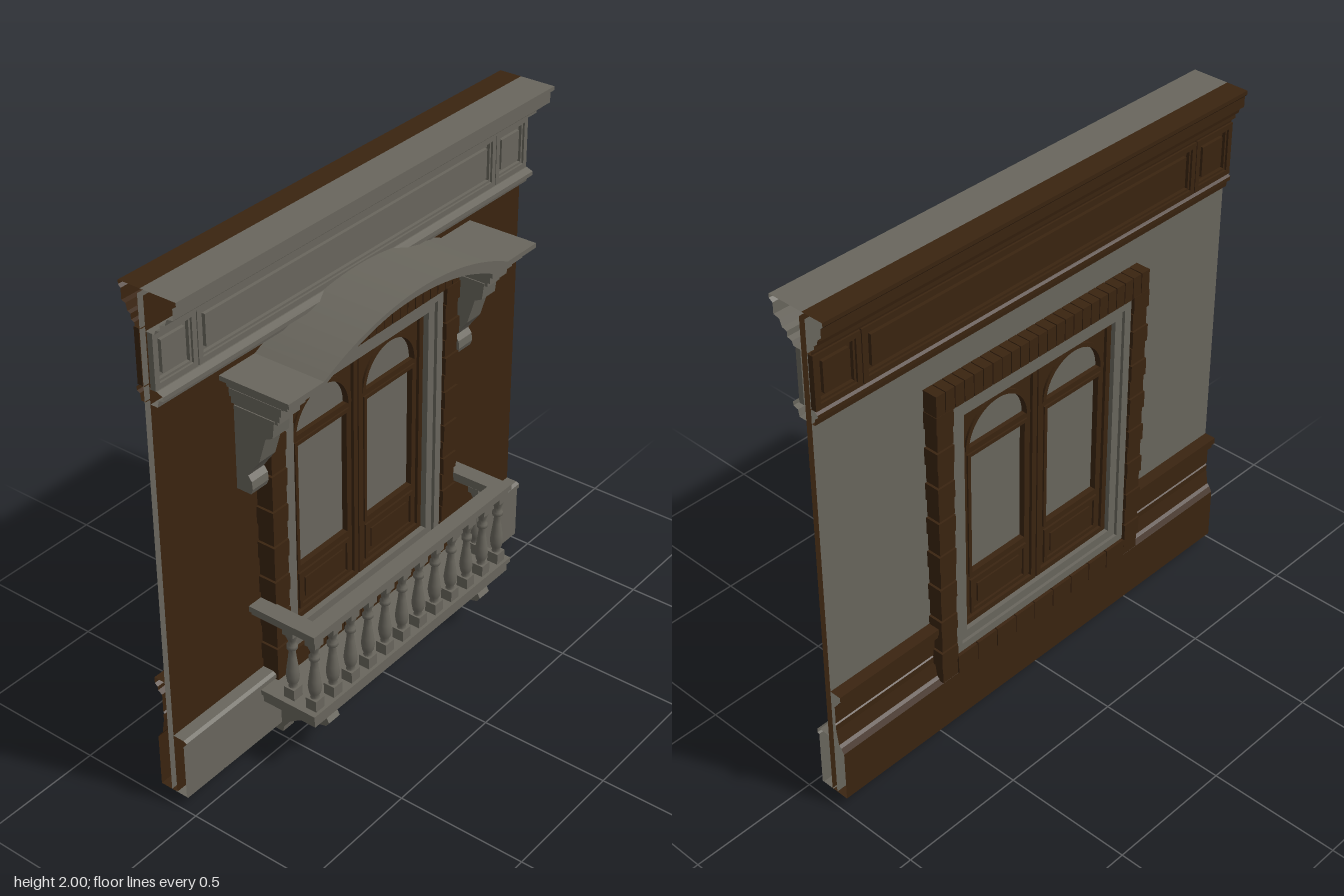
import * as THREE from 'three';

export function createModel() {
  const root = new THREE.Group();
  root.name = 'facadeBay';
  const stone = new THREE.MeshStandardMaterial({ color: 0x69665d, side: THREE.DoubleSide });
  stone.name = 'grey stone';
  const brown = new THREE.MeshStandardMaterial({ color: 0x3a2410, side: THREE.DoubleSide });
  brown.name = 'dark brown';

  const add = (name, geo, mat, parent = root) => {
    const m = new THREE.Mesh(geo, mat);
    m.name = name;
    parent.add(m);
    return m;
  };
  const group = (name) => {
    const g = new THREE.Group();
    g.name = name;
    root.add(g);
    return g;
  };
  // Box given by its limits
  const box = (name, mat, x0, x1, y0, y1, z0, z1, parent) => {
    const g = new THREE.BoxGeometry(x1 - x0, y1 - y0, z1 - z0);
    g.translate((x0 + x1) / 2, (y0 + y1) / 2, (z0 + z1) / 2);
    return add(name, g, mat, parent);
  };
  const rectPath = (x0, x1, y0, y1, P = THREE.Shape) => new P(
    [[x0, y0], [x1, y0], [x1, y1], [x0, y1]].map(([x, y]) => new THREE.Vector2(x, y)));
  // Shape in the xy plane, extruded from z0 to z1
  const plate = (name, mat, shape, z0, z1, parent) => {
    const g = new THREE.ExtrudeGeometry(shape, { depth: z1 - z0, bevelEnabled: false, curveSegments: 16 });
    g.translate(0, 0, z0);
    return add(name, g, mat, parent);
  };
  // Rectangular frame of width w
  const frame = (name, mat, x0, x1, y0, y1, w, z0, z1, parent) => {
    const s = rectPath(x0, x1, y0, y1);
    s.holes.push(rectPath(x0 + w, x1 - w, y0 + w, y1 - w, THREE.Path));
    return plate(name, mat, s, z0, z1, parent);
  };
  // Open moulding: a (z, y) profile swept along x, without end caps
  const moulding = (name, mat, profile, x0, x1, parent) => {
    const v = [];
    for (let i = 0; i + 1 < profile.length; i++) {
      const [za, ya] = profile[i], [zb, yb] = profile[i + 1];
      v.push(x0, ya, za, x1, ya, za, x1, yb, zb, x0, ya, za, x1, yb, zb, x0, yb, zb);
    }
    const g = new THREE.BufferGeometry();
    g.setAttribute('position', new THREE.Float32BufferAttribute(v, 3));
    g.computeVertexNormals();
    return add(name, g, mat, parent);
  };
  // (z, y) side profile given thickness along x
  const sideCut = (name, mat, profile, x0, x1, parent) => {
    const s = new THREE.Shape(profile.map(([z, y]) => new THREE.Vector2(-z, y)));
    const g = new THREE.ExtrudeGeometry(s, { depth: x1 - x0, bevelEnabled: false });
    g.rotateY(Math.PI / 2);
    g.translate(x0, 0, 0);
    return add(name, g, mat, parent);
  };

  const W = 0.98;

  // Wall skins with the window opening
  for (const [name, mat, z] of [['outerWall', brown, -0.1], ['innerWall', stone, -0.124]]) {
    const s = rectPath(-W, W, 0.04, 1.98);
    s.holes.push(rectPath(-0.44, 0.44, 0.34, 1.4, THREE.Path));
    const g = new THREE.ShapeGeometry(s);
    if (z < -0.11) g.scale(1, 1, -1).rotateY(Math.PI);
    g.translate(0, 0, z);
    add(name, g, mat);
  }

  // Entablature on both sides, the inner one shallower
  const lower = [[-0.1, 1.605], [-0.07, 1.605], [-0.065, 1.63], [-0.045, 1.635], [-0.045, 1.65], [-0.07, 1.66], [-0.1, 1.66]];
  const upper = [[-0.1, 1.86], [-0.065, 1.86], [-0.06, 1.875], [-0.04, 1.88], [-0.04, 1.9], [-0.02, 1.905],
    [-0.01, 1.93], [0.015, 1.935], [0.015, 1.975], [0.03, 1.985], [0.03, 2], [-0.112, 2]];
  const mirrorZ = ([z, y]) => [-0.112 - (z + 0.112) * 0.62, y];
  for (const [side, mat, inner] of [['outer', stone, false], ['inner', brown, true]]) {
    const g = group(side + 'Entablature');
    moulding('friezeMoulding', mat, inner ? lower.map(mirrorZ) : lower, -W, W, g);
    moulding('cornice', mat, inner ? upper.map(mirrorZ) : upper, -W, W, g);
    const z = (a, b) => inner ? [-0.222 - b, -0.222 - a] : [a, b];
    moulding('friezeBack', mat, [[z(-0.095, 0)[inner ? 1 : 0], 1.66], [z(-0.095, 0)[inner ? 1 : 0], 1.86]], -W, W, g);
    for (const [x0, x1] of [[-W, -0.788], [-0.784, 0.784], [0.788, W]]) {
      frame('friezeFrame', mat, x0, x1, 1.66, 1.86, 0.02, ...z(-0.095, -0.074), g);
      frame('friezeBead', mat, x0 + 0.02, x1 - 0.02, 1.68, 1.84, 0.008, ...z(-0.095, -0.082), g);
      box('friezePanel', mat, x0 + 0.043, x1 - 0.043, 1.703, 1.817, ...z(-0.095, -0.082), g);
    }
  }

  // Plinth of jointed stone blocks
  const plinth = group('plinth');
  const joints = [-W, -0.79, -0.61, -0.41, -0.21, -0.07, 0.07, 0.21, 0.41, 0.61, 0.79, W];
  for (let i = 0; i + 1 < joints.length; i++) {
    moulding('plinthBlock', stone, [[-0.105, 0.04], [-0.05, 0.04], [-0.05, 0.265]],
      joints[i] + (i ? 0.002 : 0), joints[i + 1] - (i < 10 ? 0.002 : 0), plinth);
  }
  moulding('plinthBacking', stone, [[-0.056, 0.04], [-0.056, 0.265]], -W, W, plinth);
  moulding('plinthCap', stone, [[-0.05, 0.265], [-0.042, 0.268], [-0.042, 0.285], [-0.055, 0.292], [-0.1, 0.292]], -W, W, plinth);

  // Inner wainscot
  const wainscot = group('wainscot');
  moulding('baseboard', brown, [[-0.105, 0.04], [-0.172, 0.04], [-0.172, 0.25], [-0.16, 0.27], [-0.15, 0.28], [-0.14, 0.34]], -W, W, wainscot);
  for (const [x0, x1] of [[-W, -0.46], [0.46, W]]) {
    moulding('wainscotBoards', brown, [[-0.14, 0.34], [-0.14, 0.365], [-0.134, 0.37], [-0.14, 0.375], [-0.14, 0.45],
      [-0.158, 0.46], [-0.158, 0.475], [-0.17, 0.485], [-0.17, 0.51], [-0.124, 0.51]], x0, x1, wainscot);
  }

  // Brick surround running through the wall
  const bricks = group('brickSurround');
  const rows = 16, h = 1.15 / rows;
  for (let i = 0; i < rows; i++) {
    for (const s of [-1, 1]) {
      const out = i % 2 ? 0.52 : 0.514, a = s * 0.442, b = s * out;
      box('sideBrick', brown, Math.min(a, b), Math.max(a, b), 0.26 + i * h + 0.002, 0.26 + (i + 1) * h - 0.002,
        i % 2 ? -0.184 : -0.18, i % 2 ? -0.027 : -0.032, bricks);
    }
  }
  const soldiers = 24, w = 1.04 / soldiers;
  for (let i = 0; i < soldiers; i++) {
    box('soldierBrick', brown, -0.52 + i * w + 0.002, -0.52 + (i + 1) * w - 0.002, 1.405, 1.49, -0.183, -0.03, bricks);
  }
  for (let i = 0; i < 9; i++) {
    box('sillBrick', brown, -0.44 + i * 0.0978 + 0.002, -0.44 + (i + 1) * 0.0978 - 0.002, 0.26, 0.338, -0.183, -0.03, bricks);
  }

  // Stone window frame
  frame('windowFrameOuter', stone, -0.44, 0.44, 0.34, 1.4, 0.032, -0.172, -0.042);
  frame('windowFrameInner', stone, -0.408, 0.408, 0.372, 1.368, 0.035, -0.16, -0.055);

  // Two arched door leaves
  for (const s of [-1, 1]) {
    const leaf = group(s < 0 ? 'rightDoor' : 'leftDoor');
    const c = s * 0.188;
    const shape = rectPath(c - 0.185, c + 0.185, 0.407, 1.333);
    shape.holes.push(rectPath(c - 0.133, c + 0.133, 0.62, 1.122, THREE.Path));
    const arch = new THREE.Path();
    arch.moveTo(c - 0.142, 1.155);
    arch.lineTo(c + 0.142, 1.155);
    arch.absarc(c, 1.155, 0.142, 0, Math.PI, false);
    shape.holes.push(arch);
    plate('doorLeaf', brown, shape, -0.13, -0.09, leaf);
    box('glass', stone, c - 0.15, c + 0.15, 0.61, 1.31, -0.113, -0.107, leaf);
    const ring = new THREE.Shape();
    ring.absarc(c, 1.155, 0.156, 0, Math.PI, false);
    ring.absarc(c, 1.155, 0.14, Math.PI, 0, true);
    plate('archBead', brown, ring, -0.138, -0.082, leaf);
    frame('glassBead', brown, c - 0.145, c + 0.145, 0.608, 1.134, 0.014, -0.136, -0.084, leaf);
    frame('leafEdge', brown, c - 0.185, c + 0.185, 0.407, 1.333, 0.022, -0.142, -0.078, leaf);
    frame('lowerPanelBead', brown, c - 0.14, c + 0.14, 0.44, 0.59, 0.014, -0.138, -0.082, leaf);
    box('lowerPanel', brown, c - 0.105, c + 0.105, 0.475, 0.555, -0.136, -0.084, leaf);
  }

  // Curved hood: stacked layers following a segmental arch
  const hood = group('hood');
  const R = 1.144, half = 0.5, rise = 0.115, flat = 1.56;
  const line = (d, ext) => {
    const p = [new THREE.Vector2(-ext, flat - d)];
    for (let i = 0; i <= 32; i++) {
      const x = -half + (2 * half * i) / 32;
      p.push(new THREE.Vector2(x, flat + rise - R + Math.sqrt(R * R - x * x) - d));
    }
    p.push(new THREE.Vector2(ext, flat - d));
    return p;
  };
  for (const [d0, d1, z, ext] of [[0, 0.018, 0.184, 0.672], [0.018, 0.032, 0.165, 0.655], [0.032, 0.055, 0.15, 0.64], [0.055, 0.068, 0.125, 0.628]]) {
    plate('hoodLayer', stone, new THREE.Shape([...line(d1, ext), ...line(d0, ext).reverse()]), -0.108, z, hood);
  }
  const bracket = [[-0.108, 1.1], [-0.04, 1.1], [-0.032, 1.12], [-0.035, 1.15], [-0.05, 1.17], [-0.03, 1.2], [0, 1.24],
    [0.012, 1.28], [0.03, 1.34], [0.06, 1.355], [0.068, 1.42], [-0.108, 1.42]];
  for (const s of [-1, 1]) {
    // Stepped cap and scrolled bracket below each end
    [[1.465, 1.494, 0.115, 0.1], [1.435, 1.465, 0.1, 0.085], [1.41, 1.435, 0.08, 0.06]].forEach(([y0, y1, z, r]) =>
      box('bracketCap', stone, s * 0.57 - r * 0.6, s * 0.57 + r * 0.6, y0, y1, -0.108, z, hood));
    sideCut('hoodBracket', stone, bracket, s * 0.57 - 0.04, s * 0.57 + 0.04, hood);
  }

  // Balcony slab and consoles
  const balcony = group('balcony');
  box('slabTop', stone, -0.587, 0.587, 0.237, 0.257, -0.108, 0.19, balcony);
  box('slabBase', stone, -0.575, 0.575, 0.2, 0.237, -0.108, 0.182, balcony);
  const console = [[-0.104, 0], [-0.045, 0], [-0.04, 0.025], [-0.015, 0.06], [0.03, 0.09], [0.09, 0.115], [0.155, 0.13],
    [0.168, 0.148], [0.14, 0.2], [-0.104, 0.2]];
  for (const x of [-0.453, 0.453]) sideCut('balconyConsole', stone, console, x - 0.03, x + 0.03, balcony);

  // U-shaped handrail
  const rail = (name, x, z, inset, y0, y1) => {
    box(name + 'Front', stone, -x, x, y0, y1, 0.125 + inset, z, balcony);
    for (const s of [-1, 1]) {
      const a = s * x, b = s * (0.51 + inset);
      box(name + 'Side', stone, Math.min(a, b), Math.max(a, b), y0, y1, -0.106, 0.125 + inset, balcony);
    }
  };
  rail('handrail', 0.578, 0.187, 0, 0.572, 0.595);
  rail('railBase', 0.566, 0.178, 0.008, 0.553, 0.572);

  // Turned balusters
  const turned = new THREE.LatheGeometry([[0.018, 0.3], [0.014, 0.31], [0.021, 0.325], [0.025, 0.35], [0.022, 0.38], [0.015, 0.43],
    [0.012, 0.462], [0.02, 0.468], [0.02, 0.482], [0.013, 0.488], [0.015, 0.505], [0.022, 0.522], [0.022, 0.532]]
    .map(([r, y]) => new THREE.Vector2(r, y)), 12);
  const baluster = (x, z) => {
    const g = new THREE.Group();
    g.name = 'baluster';
    g.position.set(x, 0, z);
    balcony.add(g);
    add('balusterShaft', turned, stone, g);
    box('balusterFoot', stone, -0.023, 0.023, 0.257, 0.302, -0.023, 0.023, g);
    box('balusterHead', stone, -0.023, 0.023, 0.53, 0.555, -0.023, 0.023, g);
  };
  for (let i = 0; i < 12; i++) baluster(-0.54 + (i * 1.08) / 11, 0.155);
  for (const s of [-1, 1]) baluster(s * 0.54, 0.057);

  return root;
}
